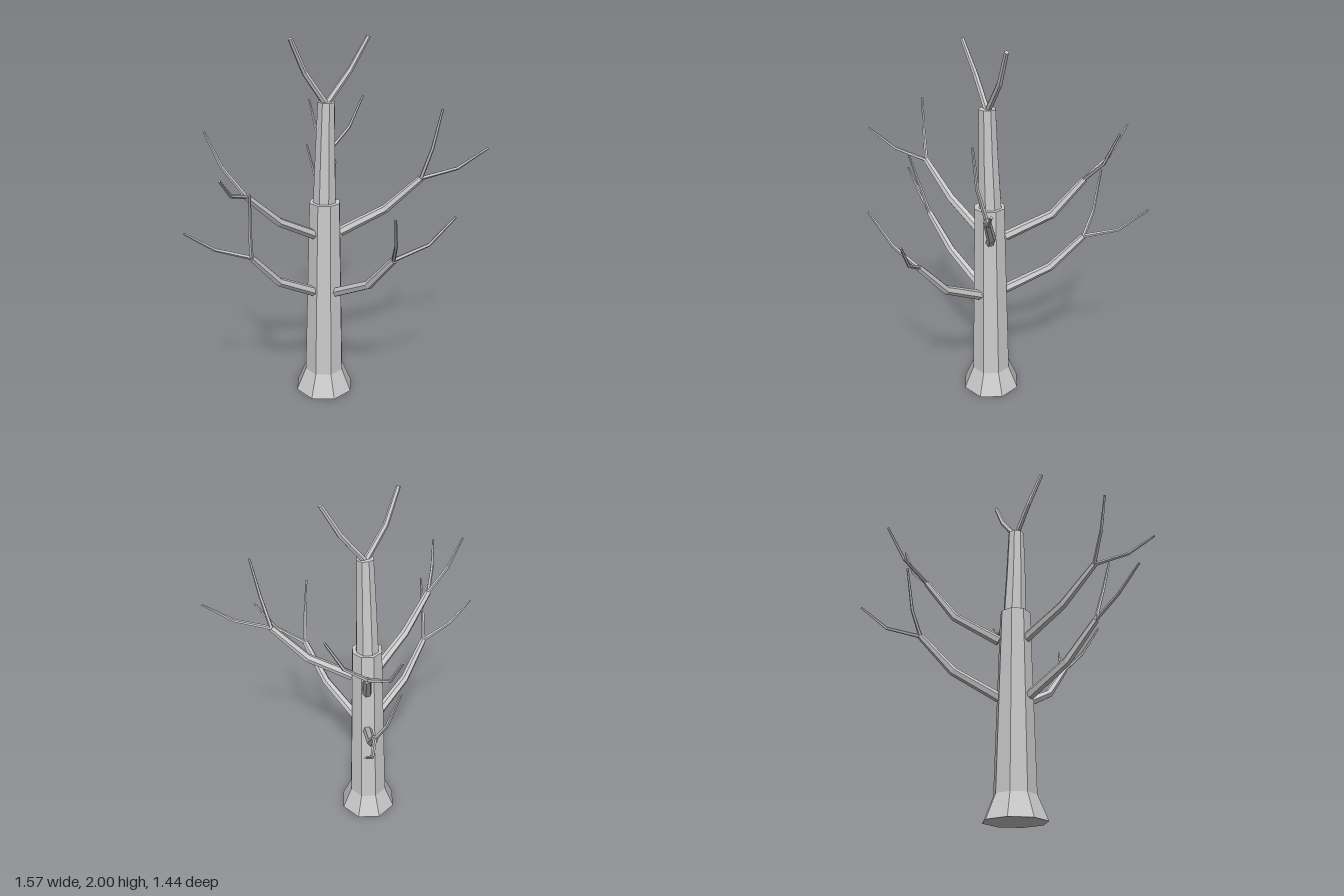
import * as THREE from 'three';

const material = new THREE.MeshStandardMaterial({ color: 0xcccccc, flatShading: true });

// Faceted, capped tube: rings of the given radii are swept along a list of points
function limb(name, path, radii, sides) {
  const pts = path.map((p) => new THREE.Vector3(...p));
  const pos = [], index = [], n = pts.length;
  let u = new THREE.Vector3(0, 0, 1);
  pts.forEach((p, i) => {
    const t = new THREE.Vector3();
    if (i > 0) t.add(p.clone().sub(pts[i - 1]).normalize());
    if (i < n - 1) t.add(pts[i + 1].clone().sub(p).normalize());
    t.normalize();
    u = u.clone().addScaledVector(t, -u.dot(t)).normalize();
    const v = new THREE.Vector3().crossVectors(t, u);
    for (let k = 0; k < sides; k++) {
      const a = (k / sides) * Math.PI * 2;
      const q = p.clone().addScaledVector(u, Math.cos(a) * radii[i]).addScaledVector(v, Math.sin(a) * radii[i]);
      pos.push(q.x, q.y, q.z);
    }
  });
  for (let i = 0; i < n - 1; i++) {
    for (let k = 0; k < sides; k++) {
      const a = i * sides + k, b = i * sides + (k + 1) % sides;
      index.push(a, b, b + sides, a, b + sides, a + sides);
    }
  }
  const last = (n - 1) * sides;
  for (let k = 1; k < sides - 1; k++) {
    index.push(0, k + 1, k, last, last + k, last + k + 1);
  }
  const geo = new THREE.BufferGeometry();
  geo.setAttribute('position', new THREE.Float32BufferAttribute(pos, 3));
  geo.setIndex(index);
  geo.computeVertexNormals();
  const mesh = new THREE.Mesh(geo, material);
  mesh.name = name;
  return mesh;
}

// Each branch: path from the trunk to the fork, then two twigs (middle and tip)
const branches = [
  { name: 'upperRightBranch', path: [[-0.07, 0.97, 0.07], [-0.29, 1.1, 0.16], [-0.475, 1.28, 0.24]],
    twigs: [[[-0.58, 1.43, 0.215], [-0.65, 1.6, 0.195]], [[-0.58, 1.34, 0.39], [-0.655, 1.455, 0.52]]] },
  { name: 'lowerRightBranch', path: [[-0.08, 0.64, 0.08], [-0.3, 0.77, 0.165], [-0.46, 0.96, 0.24]],
    twigs: [[[-0.64, 1.03, 0.245], [-0.785, 1.14, 0.265]], [[-0.475, 1.14, 0.29], [-0.48, 1.32, 0.34]]] },
  { name: 'upperLeftBranch', path: [[0.08, 0.97, 0.075], [0.3, 1.1, 0.16], [0.46, 1.28, 0.25]],
    twigs: [[[0.487, 1.45, 0.305], [0.515, 1.655, 0.335]], [[0.635, 1.335, 0.315], [0.78, 1.44, 0.36]]] },
  { name: 'lowerFrontBranch', path: [[0.04, 0.635, 0.125], [0.13, 0.765, 0.35], [0.19, 0.96, 0.51]],
    twigs: [[[0.145, 1.08, 0.62], [0.09, 1.255, 0.715]], [[0.335, 1.055, 0.595], [0.435, 1.205, 0.655]]] },
  { name: 'upperBackBranch', path: [[0.04, 0.97, -0.035], [0.14, 1.1, -0.26], [0.205, 1.3, -0.41]],
    twigs: [[[0.335, 1.42, -0.44], [0.43, 1.6, -0.46]], [[0.17, 1.39, -0.57], [0.165, 1.555, -0.68]]] },
  { name: 'lowerBackBranch', path: [[0.035, 0.64, -0.035], [0.12, 0.77, -0.27], [0.18, 0.955, -0.44]],
    twigs: [[[0.15, 1.08, -0.51], [0.11, 1.3, -0.57]], [[0.27, 1.0, -0.6], [0.36, 1.13, -0.72]]] },
];

export function createModel() {
  const tree = new THREE.Group();
  tree.name = 'bareTree';

  // Flared lower trunk, ending in a ledge
  tree.add(limb('lowerTrunk', [[0, 0, 0.04], [0, 0.13, 0.04], [0, 1.14, 0.045]], [0.168, 0.113, 0.086], 8));
  // Thinner, slightly leaning upper trunk
  tree.add(limb('upperTrunk', [[0, 1.1, 0.04], [0, 1.4, 0.05], [0.003, 1.675, 0.056]], [0.066, 0.056, 0.046], 8));

  // Fork at the crown
  const crown = [0.003, 1.66, 0.055];
  tree.add(limb('rightCrownTwig', [crown, [-0.115, 1.825, 0.07], [-0.2, 1.995, 0.108]], [0.017, 0.015, 0.012], 6));
  tree.add(limb('leftCrownTwig', [crown, [0.135, 1.825, 0.045], [0.23, 1.99, 0.052]], [0.017, 0.015, 0.012], 6));

  // Side branches, each forking into two twigs
  for (const { name, path, twigs } of branches) {
    const branch = new THREE.Group();
    branch.name = name;
    branch.add(limb('bough', path, [0.027, 0.024, 0.018], 6));
    for (const twig of twigs) {
      branch.add(limb('twig', [path[2], ...twig], [0.011, 0.009, 0.006], 5));
    }
    tree.add(branch);
  }
  return tree;
}
